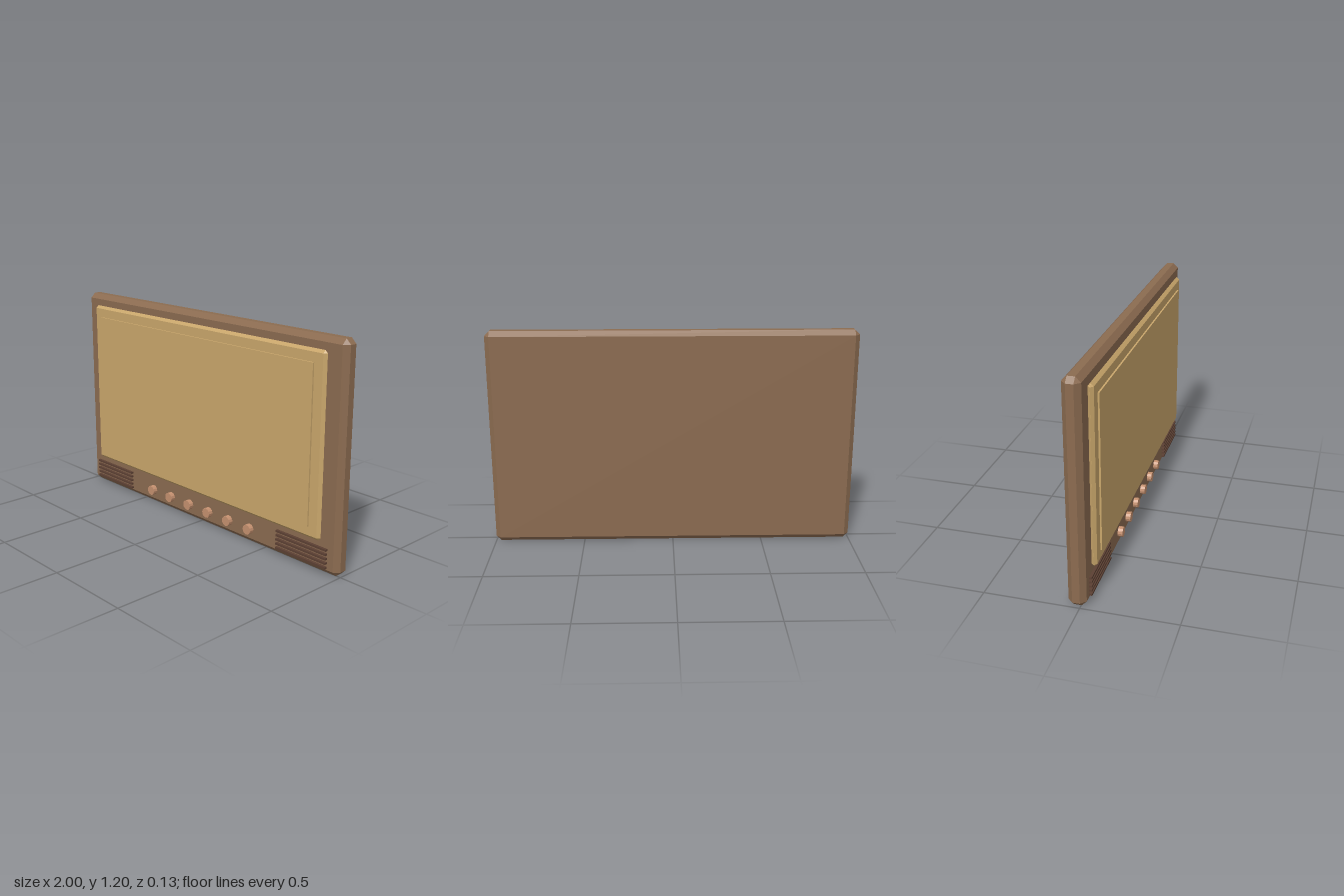
import * as THREE from 'three';
import { ConvexGeometry } from 'three/addons/geometries/ConvexGeometry.js';

const material = (name, color) => {
  const m = new THREE.MeshStandardMaterial({ color });
  m.name = name;
  return m;
};

// Box with every edge and corner cut by c
function chamferBox(w, h, d, c) {
  const points = [];
  for (const sx of [-1, 1]) for (const sy of [-1, 1]) for (const sz of [-1, 1]) {
    const half = [sx * w / 2, sy * h / 2, sz * d / 2];
    const cut = [sx * c, sy * c, sz * c];
    for (let axis = 0; axis < 3; axis++) {
      points.push(new THREE.Vector3(...half.map((v, i) => (i === axis ? v : v - cut[i]))));
    }
  }
  return new ConvexGeometry(points);
}

export function createModel() {
  const group = new THREE.Group();
  const wood = material('brown wood', 0x8b6b50);
  const gold = material('warm gold', 0xc9a66b);
  const dark = material('dark brown', 0x5c4033);
  const copper = material('copper', 0xc4906f);

  const add = (name, geometry, mat, x, y, z, parent = group) => {
    const mesh = new THREE.Mesh(geometry, mat);
    mesh.name = name;
    mesh.position.set(x, y, z);
    parent.add(mesh);
    return mesh;
  };

  // Cabinet, bezel and screen stacked towards the front
  add('cabinet', chamferBox(2, 1.2, 0.093, 0.027), wood, 0, 0.6, -0.0175);
  add('bezel', chamferBox(1.8, 0.962, 0.03, 0.0148), gold, 0, 0.657, 0.043);
  add('screen', new THREE.BoxGeometry(1.664, 0.834, 0.012), gold, 0, 0.656, 0.061);

  // Speaker grilles: five slats on each side
  const slat = new THREE.BoxGeometry(0.335, 0.011, 0.018);
  for (const side of [-1, 1]) {
    const grille = new THREE.Group();
    grille.name = side > 0 ? 'leftGrille' : 'rightGrille';
    for (let i = 0; i < 5; i++) {
      add('slat', slat, dark, side * 0.767, 0.041 + i * 0.0238, 0.035, grille);
    }
    group.add(grille);
  }

  // Row of control knobs
  const knob = new THREE.CylinderGeometry(0.028, 0.028, 0.03, 12).rotateX(Math.PI / 2).toNonIndexed();
  knob.computeVertexNormals();
  for (let i = 0; i < 6; i++) add('knob', knob, copper, -0.4 + i * 0.16, 0.082, 0.041);

  return group;
}
